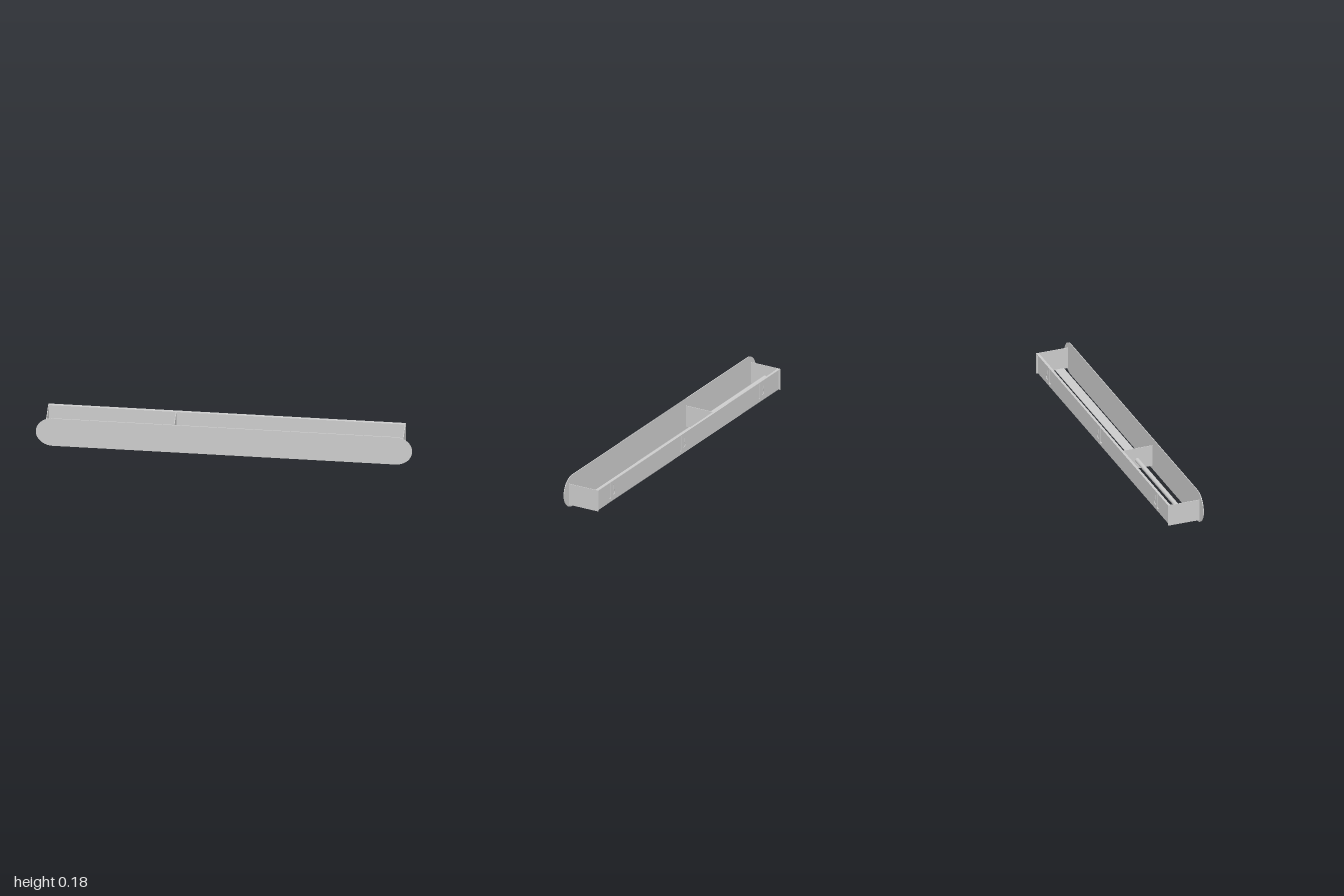
import * as THREE from 'three';

const material = new THREE.MeshStandardMaterial({ color: 0xcccccc, side: THREE.DoubleSide });

const SHEET = 0.004;                 // sheet thickness
const BOTTOM = 0.02, TOP = 0.14;     // tray height range
const BACK = -0.092, FRONT = 0.088;  // tray depth range
const HALF = 0.95;                   // half the tray length
const PANEL = -0.078;                // front face of the recessed back panel
const DIVIDER_X = -0.27;

export function createModel() {
  const group = new THREE.Group();

  const add = (name, geometry) => {
    const mesh = new THREE.Mesh(geometry, material);
    mesh.name = name;
    group.add(mesh);
    return mesh;
  };

  // Box given by its lower and upper limits on each axis
  const box = (name, x0, x1, y0, y1, z0, z1) =>
    add(name, new THREE.BoxGeometry(x1 - x0, y1 - y0, z1 - z0))
      .position.set((x0 + x1) / 2, (y0 + y1) / 2, (z0 + z1) / 2);

  // Front panel with fully rounded ends
  const r = 0.09;
  const outline = new THREE.Shape();
  outline.absarc(1 - r, r, r, -Math.PI / 2, Math.PI / 2);
  outline.absarc(-1 + r, r, r, Math.PI / 2, Math.PI * 1.5);
  outline.closePath();
  add('frontPanel', new THREE.ExtrudeGeometry(outline, { depth: SHEET, bevelEnabled: false, curveSegments: 32 }))
    .position.z = FRONT;

  // Back panel and its top flange folded toward the wall
  box('backPanel', -HALF, HALF, BOTTOM, TOP, PANEL - SHEET, PANEL);
  box('backFlange', -HALF, HALF, TOP - SHEET, TOP, BACK, PANEL - SHEET);

  // End panels and divider
  box('leftEnd', HALF - SHEET, HALF, BOTTOM, TOP, BACK, FRONT);
  box('rightEnd', -HALF, -HALF + SHEET, BOTTOM, TOP, BACK, FRONT);
  box('divider', DIVIDER_X - SHEET / 2, DIVIDER_X + SHEET / 2, BOTTOM, TOP, PANEL, FRONT);

  // Two floor slats in the long compartment
  for (const [z0, z1] of [[-0.056, -0.012], [0.014, 0.065]]) {
    box('floorSlat', DIVIDER_X, HALF - SHEET, BOTTOM, BOTTOM + SHEET, z0, z1);
  }

  // Hanging rod in the short compartment
  const rodLength = DIVIDER_X + HALF - SHEET;
  const rod = add('hangingRod', new THREE.CylinderGeometry(0.0125, 0.0125, rodLength, 24));
  rod.rotation.z = Math.PI / 2;
  rod.position.set((DIVIDER_X - HALF + SHEET) / 2, 0.07, 0.001);

  // Wall hangers: a tab with a keyhole, folded back to the panel at its foot
  const tabBottom = 0.042, w = 0.026;
  const tab = new THREE.Shape();
  tab.moveTo(-w, tabBottom);
  tab.lineTo(w, tabBottom);
  tab.lineTo(w, TOP);
  tab.lineTo(-w, TOP);
  tab.closePath();
  const keyhole = new THREE.Path();
  keyhole.absarc(0, 0.073, 0.014, Math.PI * 0.62, Math.PI * 2.38);
  keyhole.absarc(0, 0.11, 0.006, 0, Math.PI);
  keyhole.closePath();
  tab.holes.push(keyhole);
  const tabGeometry = new THREE.ExtrudeGeometry(tab, { depth: 0.003, bevelEnabled: false, curveSegments: 16 });
  for (const x of [0.79, 0.055, -0.765]) {
    add('hangerTab', tabGeometry).position.set(x, 0, BACK);
    box('hangerFoot', x - w, x + w, tabBottom, tabBottom + 0.003, BACK, PANEL - SHEET);
  }

  return group;
}
